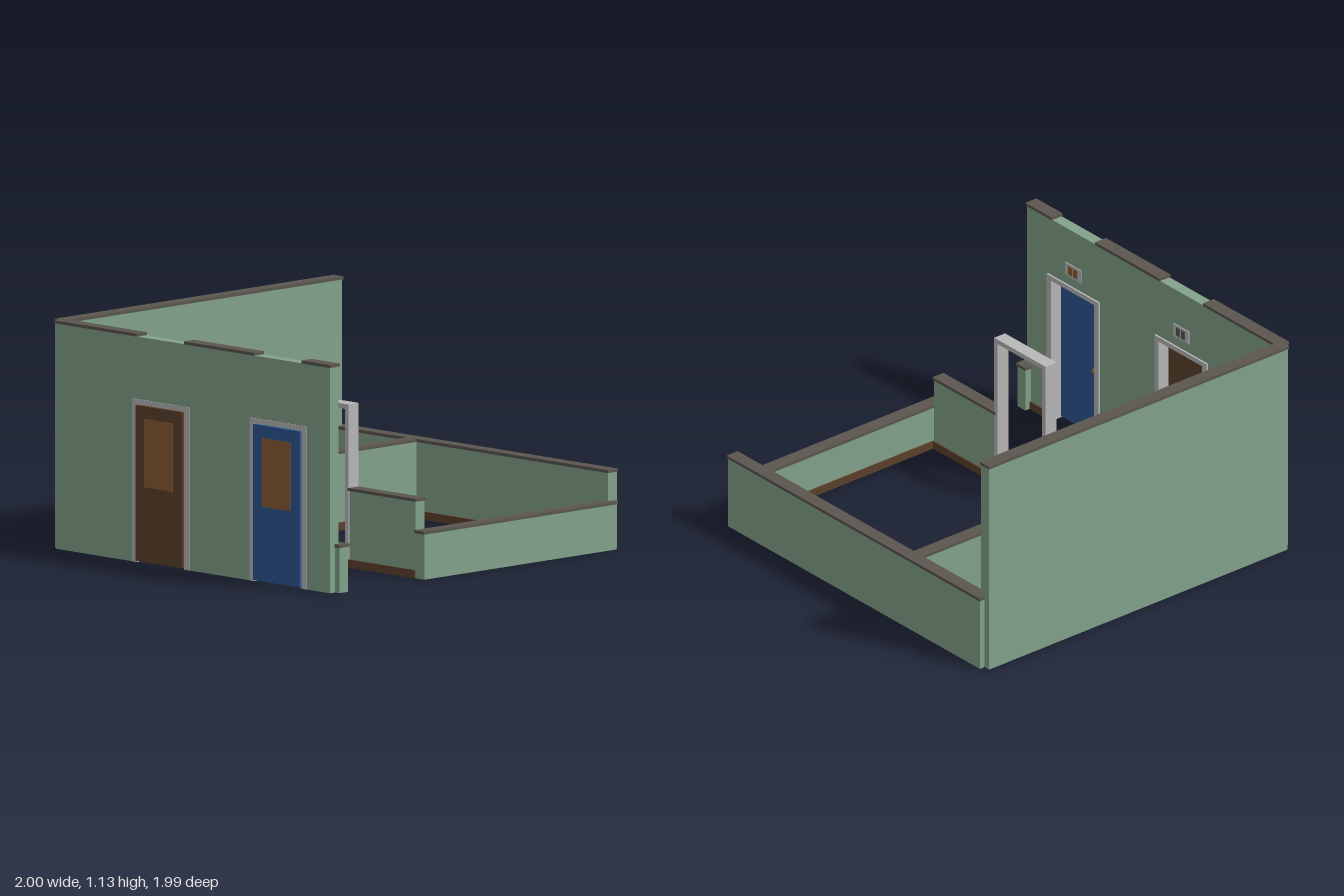
import * as THREE from 'three';

const mat = (name, color) => {
  const m = new THREE.MeshStandardMaterial({ color });
  m.name = name;
  return m;
};

export function createModel() {
  const root = new THREE.Group();
  root.name = 'roomSet';
  const green = mat('wall green', 0x82a28a);
  const stone = mat('cap grey brown', 0x5b564f);
  const white = mat('trim light grey', 0xb8b8b8);
  const blue = mat('door blue', 0x2d5590);
  const brown = mat('door brown', 0x5c402b);
  const amber = mat('amber brown', 0x8a5a30);
  const dark = mat('sign dark grey', 0x545454);

  // Box given by its low and high bounds on each axis
  const box = (name, material, x0, x1, y0, y1, z0, z1, parent = root) => {
    const mesh = new THREE.Mesh(new THREE.BoxGeometry(x1 - x0, y1 - y0, z1 - z0), material);
    mesh.position.set((x0 + x1) / 2, (y0 + y1) / 2, (z0 + z1) / 2);
    mesh.name = name;
    parent.add(mesh);
    return mesh;
  };

  // Straight wall centred on c, running a..b along an axis, with a wider cap
  const wall = (name, axis, c, a, b, h) => {
    const g = new THREE.Group();
    g.name = name;
    root.add(g);
    const run = (part, m, half, y0, y1, grow) => axis === 'x'
      ? box(part, m, a - grow, b + grow, y0, y1, c - half, c + half, g)
      : box(part, m, c - half, c + half, y0, y1, a - grow, b + grow, g);
    run('wallBody', green, 0.03, 0, h, 0);
    run('wallCap', stone, 0.035, h, h + 0.015, 0.005);
  };

  // Outer walls
  wall('backWall', 'x', -0.965, -0.955, 0.96, 1.12);
  wall('rightWall', 'z', 0.96, -0.96, 0.955, 0.38);
  wall('frontWall', 'x', 0.955, -0.365, 0.96, 0.225);
  wall('frontStub', 'x', 0.955, -0.95, -0.89, 0.225);
  for (const [a, b] of [[-0.96, -0.395], [-0.055, 0.425], [0.765, 0.955]])
    wall('doorWall', 'z', -0.955, a, b, 1.12);

  // Inner low walls
  wall('innerBackWall', 'x', -0.415, -0.33, 0.93, 0.38);
  wall('innerSideWall', 'z', -0.33, -0.412, 0.068, 0.38);
  wall('innerSideWall', 'z', -0.33, 0.452, 0.92, 0.38);

  // Door surround: two posts and a head piece, z0..z1 being the clear opening
  const frame = (name, x0, x1, z0, z1, w) => {
    const g = new THREE.Group();
    g.name = name;
    root.add(g);
    box('framePost', white, x0, x1, 0, 0.785, z0 - w, z0, g);
    box('framePost', white, x0, x1, 0, 0.785, z1, z1 + w, g);
    box('frameHead', white, x0, x1, 0.785, 0.81, z0 - w, z1 + w, g);
  };
  frame('innerDoorway', -0.365, -0.295, 0.09, 0.43, 0.026);

  // Two outer doors with lintel, frame, panel, knobs and a small sign above
  for (const [z, paint, barPaint] of [[0.595, blue, amber], [-0.225, brown, dark]]) {
    box('doorLintel', green, -0.985, -0.925, 0.8, 1.12, z - 0.172, z + 0.172);
    frame('doorFrame', -0.989, -0.915, z - 0.165, z + 0.165, 0.033);
    box('door', paint, -1, -0.978, 0.008, 0.782, z - 0.163, z + 0.163);
    box('doorPanel', amber, -1.003, -0.999, 0.38, 0.72, z - 0.1, z + 0.1);
    const knob = new THREE.Mesh(new THREE.SphereGeometry(0.015, 12, 8), amber);
    knob.name = 'doorKnob';
    knob.position.set(-0.97, 0.37, z - 0.1);
    root.add(knob);
    const s = z + 0.003;
    box('doorSign', white, -0.926, -0.92, 0.86, 0.93, s - 0.06, s + 0.06);
    for (const side of [-1, 1])
      box('doorSignBar', barPaint, -0.921, -0.917, 0.873, 0.918,
        s + side * 0.019 - 0.014, s + side * 0.019 + 0.014);
  }

  // Notice board on the back wall
  box('noticeBoard', white, -0.8, -0.46, 0.56, 0.75, -0.936, -0.929);
  box('noticeBar', amber, -0.76, -0.5, 0.69, 0.711, -0.93, -0.926);
  box('noticeBar', dark, -0.75, -0.54, 0.643, 0.663, -0.93, -0.926);
  box('noticeBar', dark, -0.74, -0.59, 0.594, 0.614, -0.93, -0.926);

  // Skirting along the inside faces: [x0, x1, z0, z1]
  const t = 0.008;
  for (const [x0, x1, z0, z1] of [
    [-0.925, 0.93, -0.935, -0.935 + t],
    [-0.925, -0.925 + t, -0.935, -0.424],
    [-0.925, -0.925 + t, -0.026, 0.396],
    [-0.925, -0.925 + t, 0.794, 0.925],
    [0.93 - t, 0.93, -0.935, -0.445],
    [0.93 - t, 0.93, -0.385, 0.925],
    [-0.3, 0.93, -0.385, -0.385 + t],
    [-0.3, 0.93, 0.925 - t, 0.925],
    [-0.3, -0.3 + t, -0.385, 0.064],
    [-0.3, -0.3 + t, 0.456, 0.925],
    [-0.36 - t, -0.36, -0.412, 0.064],
    [-0.36 - t, -0.36, 0.456, 0.92],
    [-0.33, 0.93, -0.445 - t, -0.445],
  ]) box('skirting', brown, x0, x1, 0, 0.04, z0, z1);

  return root;
}
